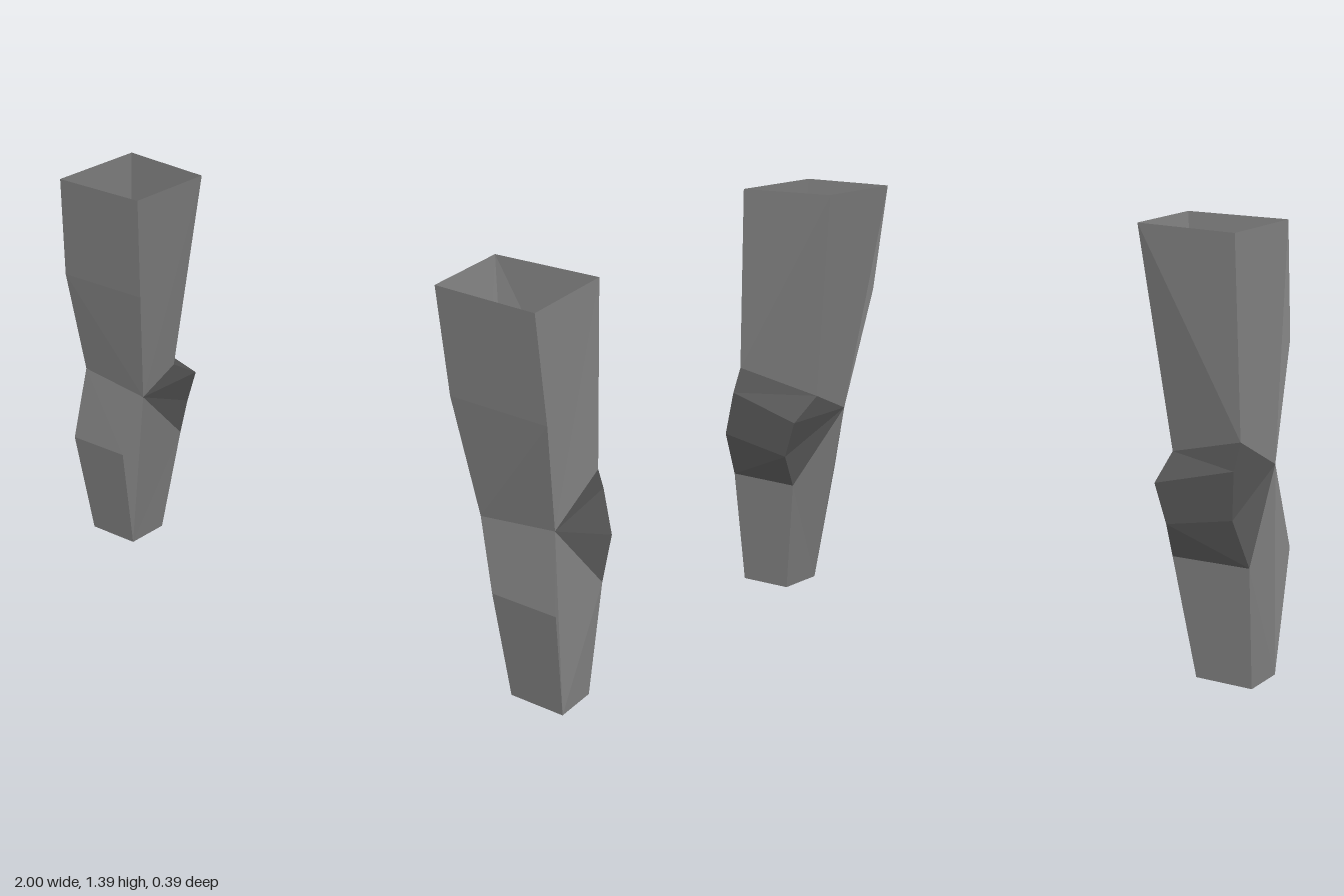
import * as THREE from 'three';

// Corner columns of the arm on +x, listed from shoulder to wrist.
const frontOuter = [[0.923, 1.386, 0.193], [0.96, 1.03, 0.155], [0.96, 0.655, 0.08], [1, 0.39, 0.115], [1, 0, 0.04]];
const frontInner = [[0.58, 1.386, 0.193], [0.62, 1.03, 0.155], [0.695, 0.62, 0.08], [0.77, 0.39, 0.115], [0.81, 0, 0.04]];
const backOuter = [[0.923, 1.386, -0.153], [0.96, 0.77, -0.153], [0.96, 0.69, -0.193], [1, 0.54, -0.193], [1, 0.39, -0.153], [1, 0, -0.115]];
const backInner = [[0.58, 1.386, -0.12], [0.69, 0.69, -0.075], [0.695, 0.617, -0.193], [0.738, 0.495, -0.193], [0.74, 0.385, -0.153], [0.81, 0, -0.115]];

const makeMaterial = (color) => new THREE.MeshStandardMaterial({ color, flatShading: true, side: THREE.DoubleSide });

function makeMesh(name, positions, material) {
  const geometry = new THREE.BufferGeometry();
  geometry.setAttribute('position', new THREE.Float32BufferAttribute(positions, 3));
  geometry.computeVertexNormals();
  const mesh = new THREE.Mesh(geometry, material);
  mesh.name = name;
  return mesh;
}

function makeArm(name, side, outerBack, sleeveMaterial, elbowMaterial) {
  const sleeve = [], elbow = [];
  const tri = (part, a, b, c) => {
    for (const p of side > 0 ? [a, b, c] : [a, c, b]) part.push(side * p[0], p[1], p[2]);
  };

  // Panel between two columns; partOf picks the part for each row.
  const panel = (l, r, partOf) => {
    for (let i = 0; i < l.length - 1; i++) {
      tri(partOf(i), l[i], l[i + 1], r[i]);
      tri(partOf(i), l[i + 1], r[i + 1], r[i]);
    }
  };
  panel(frontInner, frontOuter, () => sleeve);
  panel(outerBack, backInner, (i) => (i >= 1 && i <= 3 ? elbow : sleeve));

  // Side wall: upper arm, elbow fan, forearm, and the folds along the front edge.
  const wall = (f, b, flip) => {
    const t = (part, p, q, r) => (flip ? tri(part, p, r, q) : tri(part, p, q, r));
    t(sleeve, f[0], f[1], f[2]);
    t(sleeve, f[0], f[2], b[0]);
    t(sleeve, f[2], b[1], b[0]);
    for (let i = 1; i < 4; i++) t(elbow, f[2], b[i + 1], b[i]);
    t(sleeve, f[2], f[3], f[4]);
    t(sleeve, f[2], f[4], b[4]);
    t(sleeve, f[4], b[5], b[4]);
  };
  wall(frontOuter, outerBack, false);
  wall(frontInner, backInner, true);

  const arm = new THREE.Group();
  arm.name = name;
  arm.add(makeMesh('sleeve', sleeve, sleeveMaterial), makeMesh('elbowPatch', elbow, elbowMaterial));
  return arm;
}

export function createModel() {
  const group = new THREE.Group();
  group.name = 'arms';
  const sleeveMaterial = makeMaterial(0x808080);
  const elbowMaterial = makeMaterial(0x555555);

  // The right elbow is slightly narrower at its lower outer corner.
  const narrowElbow = backOuter.map((p, i) => (i === 3 ? [0.96, p[1], p[2]] : p));

  group.add(
    makeArm('leftArm', 1, backOuter, sleeveMaterial, elbowMaterial),
    makeArm('rightArm', -1, narrowElbow, sleeveMaterial, elbowMaterial),
  );
  return group;
}
